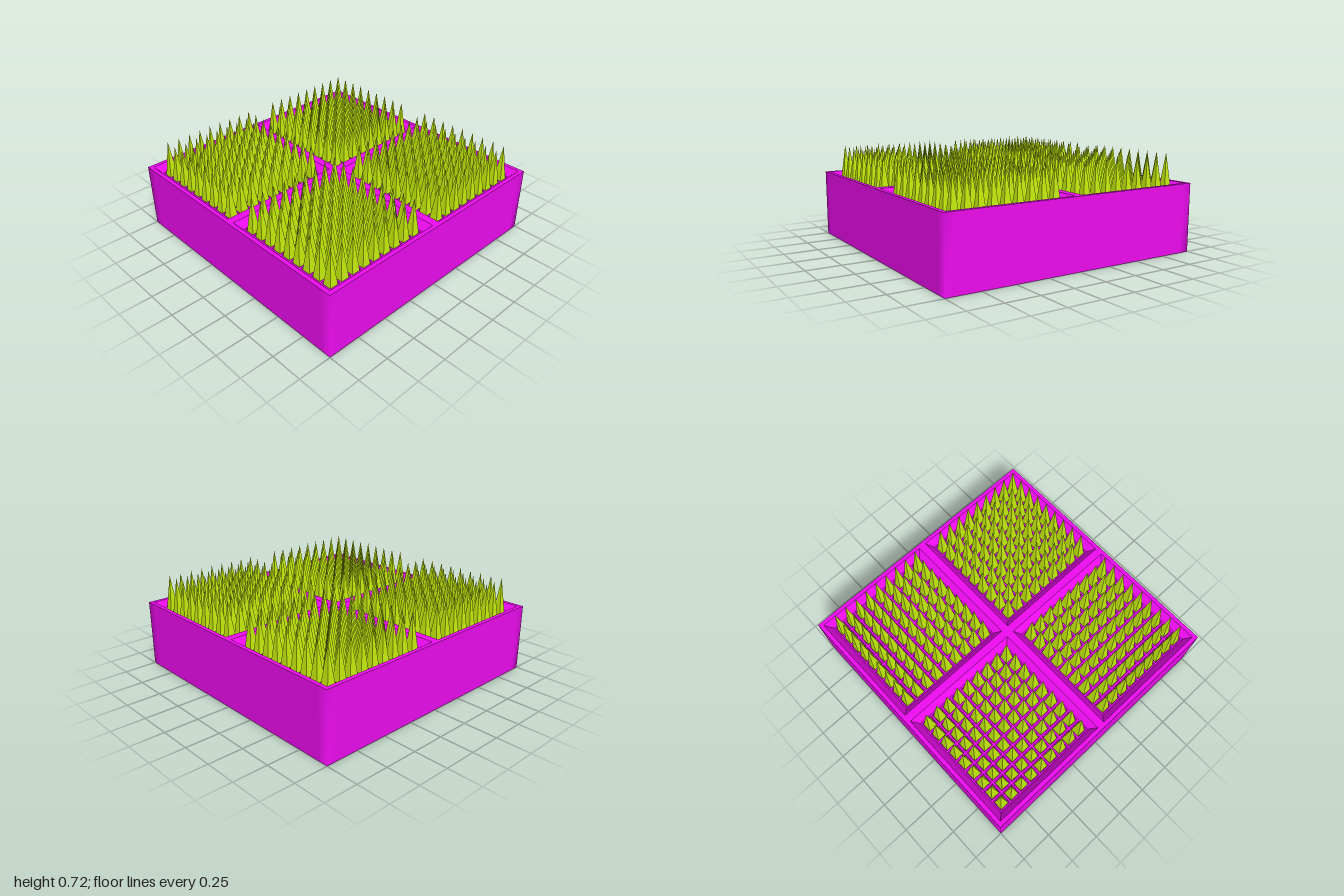
import * as THREE from 'three';
import { mergeGeometries } from 'three/addons/utils/BufferGeometryUtils.js';

const RIM = 0.505, FLOOR = 0.45, PIT = 0.42, TIP = 0.72;
const COUNT = 9, PITCH = 0.0937;

// square path, usable as outline or hole
const square = (path, x, y, h) => {
  path.moveTo(x - h, y - h);
  path.lineTo(x + h, y - h);
  path.lineTo(x + h, y + h);
  path.lineTo(x - h, y + h);
  path.closePath();
  return path;
};

// horizontal sheet facing up at height y
const sheet = (shape, y) => new THREE.ShapeGeometry(shape).rotateX(-Math.PI / 2).translate(0, y, 0);

// open four-sided tapered sleeve between two heights
const sleeve = (topHalf, bottomHalf, top, bottom) =>
  new THREE.CylinderGeometry(topHalf * Math.SQRT2, bottomHalf * Math.SQRT2, top - bottom, 4, 1, true)
    .rotateY(Math.PI / 4).translate(0, (top + bottom) / 2, 0);

// outer walls: corners share vertices so their shading rolls round
function wallGeometry() {
  const s = 0.92, pos = [], index = [];
  const loop = [[1, s], [1, 1], [s, 1], [-s, 1], [-1, 1], [-1, s],
    [-1, -s], [-1, -1], [-s, -1], [s, -1], [1, -1], [1, -s]];
  for (const [x, z] of loop) pos.push(x, 0, z, x, RIM, z);
  loop.forEach((_, i) => {
    const a = 2 * i, b = 2 * ((i + 1) % loop.length);
    index.push(a, a + 1, b, b, a + 1, b + 1);
  });
  const g = new THREE.BufferGeometry();
  g.setAttribute('position', new THREE.Float32BufferAttribute(pos, 3));
  g.setIndex(index);
  g.computeVertexNormals();
  return g;
}

export function createModel() {
  const model = new THREE.Group();
  const tray = new THREE.MeshStandardMaterial({ color: 0xee0cf0, side: THREE.DoubleSide });
  const trayFlat = tray.clone();
  trayFlat.flatShading = true;
  const green = new THREE.MeshStandardMaterial({ color: 0xc4ea0c, flatShading: true });
  const add = (parent, name, geometry, material) => {
    const mesh = new THREE.Mesh(geometry, material);
    mesh.name = name;
    parent.add(mesh);
    return mesh;
  };

  // box shell
  add(model, 'outerWalls', wallGeometry(), tray);
  add(model, 'base', new THREE.PlaneGeometry(2, 2).rotateX(Math.PI / 2), trayFlat);

  // rim and cross divider
  const rim = square(new THREE.Shape(), 0, 0, 1);
  for (const x of [-0.5, 0.5]) for (const y of [-0.5, 0.5]) rim.holes.push(square(new THREE.Path(), x, y, 0.47));
  add(model, 'rim', sheet(rim, RIM), trayFlat);

  // centres of the cells in one bed
  const cells = [];
  for (let i = 0; i < COUNT; i++) for (let j = 0; j < COUNT; j++) {
    cells.push([(i - (COUNT - 1) / 2) * PITCH, (j - (COUNT - 1) / 2) * PITCH]);
  }
  const repeat = (g) => mergeGeometries(cells.map(([x, z]) => g.clone().translate(x, 0, z)));

  // bed parts, shared by all four beds
  const slopes = mergeGeometries([sleeve(0.47, 0.44, RIM, 0.47), sleeve(0.44, 0.425, 0.47, FLOOR)]);
  const floorShape = square(new THREE.Shape(), 0, 0, 0.425);
  for (const [x, z] of cells) floorShape.holes.push(square(new THREE.Path(), x, z, 0.04));
  const lattice = sheet(floorShape, FLOOR);
  const pits = repeat(sleeve(0.04, 0.036, FLOOR, PIT));
  const pitFloor = new THREE.PlaneGeometry(0.85, 0.85).rotateX(-Math.PI / 2).translate(0, PIT, 0);
  const blades = repeat(new THREE.ConeGeometry(0.034 * Math.SQRT2, TIP - PIT, 4)
    .rotateY(Math.PI / 4).translate(0, (TIP + PIT) / 2, 0));

  for (const [side, x] of [['Right', -0.5], ['Left', 0.5]]) {
    for (const [end, z] of [['back', -0.5], ['front', 0.5]]) {
      const bed = new THREE.Group();
      bed.name = `${end}${side}Bed`;
      bed.position.set(x, 0, z);
      add(bed, 'recessWalls', slopes, trayFlat);
      add(bed, 'lattice', lattice, trayFlat);
      add(bed, 'pitWalls', pits, trayFlat);
      add(bed, 'pitFloor', pitFloor, trayFlat);
      add(bed, 'grassSpikes', blades, green);
      model.add(bed);
    }
  }
  return model;
}
